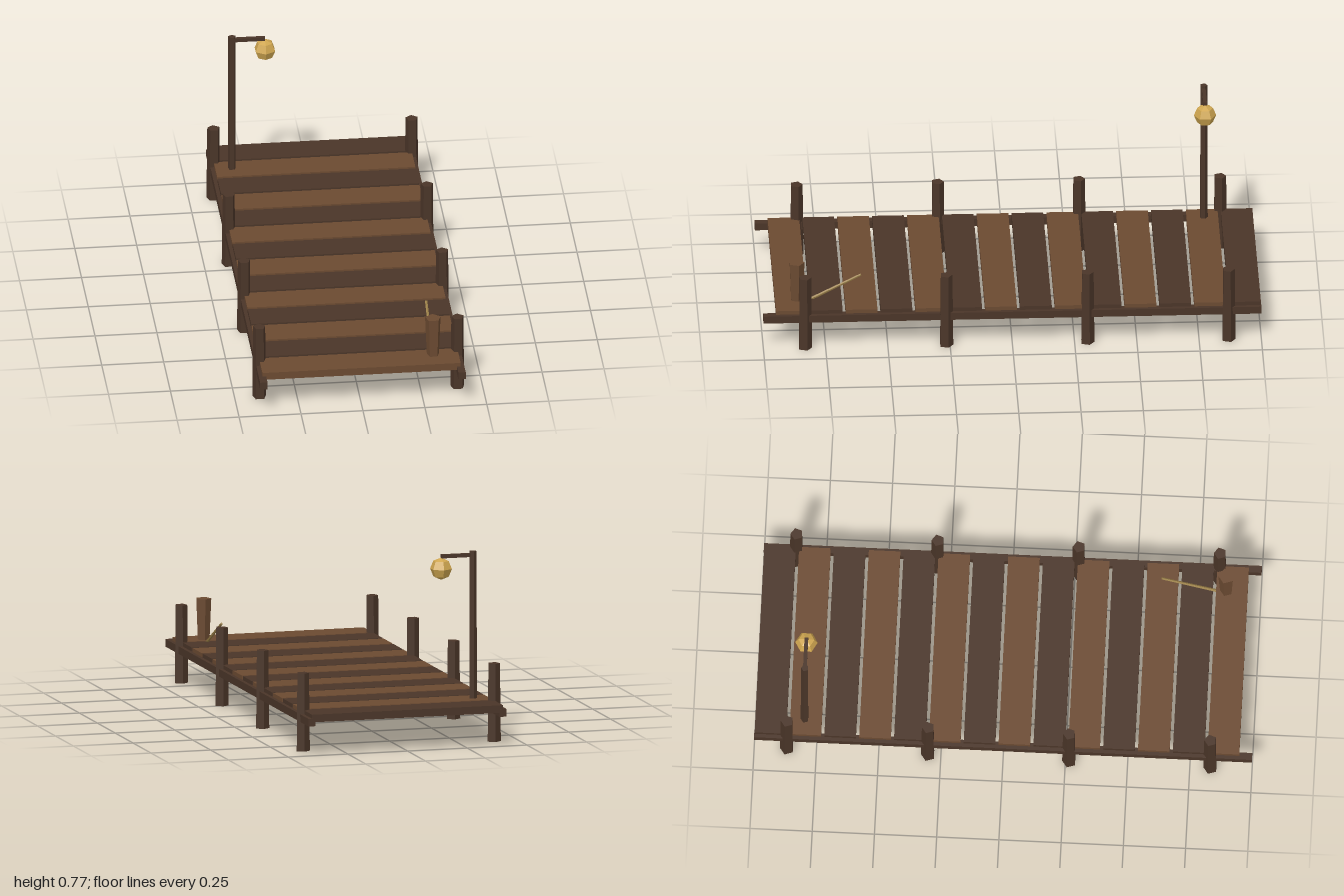
import * as THREE from 'three';

const mat = (color) => new THREE.MeshStandardMaterial({ color, flatShading: true });

export function createModel() {
  const model = new THREE.Group();
  model.name = 'dock';

  const darkWood = mat(0x4a3528);
  const lightWood = mat(0x6b4a31);
  const brass = mat(0xcfa650);
  const cane = mat(0x9c8148);

  const add = (name, geometry, material, x, y, z) => {
    const mesh = new THREE.Mesh(geometry, material);
    mesh.name = name;
    mesh.position.set(x, y, z);
    model.add(mesh);
    return mesh;
  };

  // Five-sided upright with a corner toward the back, standing on height y0
  const upright = (name, rTop, rBottom, y0, y1, x, z, material) => {
    const geometry = new THREE.CylinderGeometry(rTop, rBottom, y1 - y0, 5).rotateY(Math.PI);
    return add(name, geometry, material, x, (y0 + y1) / 2, z);
  };

  // Deck planks in alternating tones
  const plankCount = 14, pitch = 0.14, plankDepth = 0.127;
  for (let i = 0; i < plankCount; i++) {
    add('plank', new THREE.BoxGeometry(0.8, 0.031, plankDepth),
      i % 2 ? lightWood : darkWood, 0, 0.1515, -0.935 + i * pitch);
  }

  // Long side beams and the rows of piles
  for (const side of [-1, 1]) {
    add('sideBeam', new THREE.BoxGeometry(0.03, 0.031, 2), darkWood, side * 0.4, 0.1355, 0);
    for (let i = 0; i < 4; i++) {
      upright('pile', 0.0255, 0.029, 0, 0.317, side * 0.4, -0.868 + i * 0.567, darkWood);
    }
  }

  // Lamp: pole, arm and faceted lantern
  upright('lampPole', 0.0152, 0.0168, 0.16, 0.766, -0.333, -0.8, darkWood);
  add('lampArm', new THREE.BoxGeometry(0.133, 0.015, 0.015), darkWood, -0.2665, 0.75, -0.8);
  add('lantern', new THREE.SphereGeometry(0.045, 6, 4).rotateY(Math.PI / 2), brass, -0.2, 0.7, -0.8);

  // Flared bucket at the front corner
  upright('bucket', 0.033, 0.0255, 0.16, 0.333, 0.298, 0.863, lightWood);

  // Fishing rod leaning up through the deck
  const butt = new THREE.Vector3(0.298, 0.129, 0.878);
  const tip = new THREE.Vector3(0.298, 0.272, 0.604);
  const along = tip.clone().sub(butt);
  const rod = add('fishingRod', new THREE.CylinderGeometry(0.005, 0.007, along.length(), 5), cane,
    0.298, (butt.y + tip.y) / 2, (butt.z + tip.z) / 2);
  rod.quaternion.setFromUnitVectors(new THREE.Vector3(0, 1, 0), along.normalize());

  return model;
}
